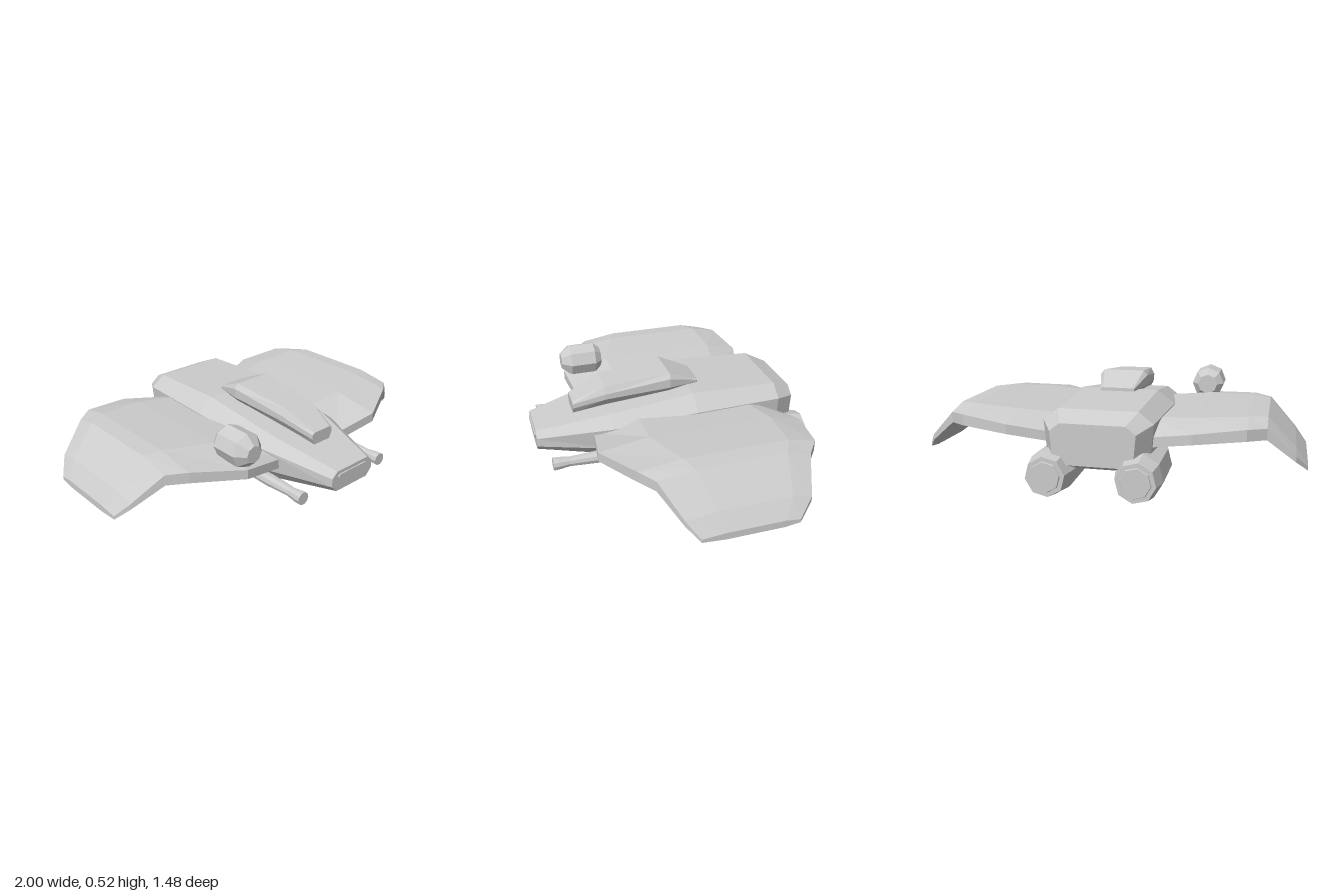
import * as THREE from 'three';

const grey = new THREE.MeshStandardMaterial({ color: 0xcccccc });
grey.name = 'hullGrey';

// Faceted skin over a series of closed rings, capped at both ends.
function loft(name, rings) {
  const pos = [];
  const tri = (a, b, c) => pos.push(...a, ...b, ...c);
  const n = rings[0].length;
  for (let i = 0; i < rings.length - 1; i++) {
    for (let j = 0; j < n; j++) {
      const k = (j + 1) % n, A = rings[i], B = rings[i + 1];
      tri(A[j], B[j], B[k]);
      tri(A[j], B[k], A[k]);
    }
  }
  const first = rings[0], last = rings[rings.length - 1];
  for (let j = 1; j < n - 1; j++) {
    tri(first[0], first[j], first[j + 1]);
    tri(last[0], last[j + 1], last[j]);
  }
  // turn the faces outward if the enclosed volume is negative
  let volume = 0;
  const v = (i) => new THREE.Vector3(pos[i], pos[i + 1], pos[i + 2]);
  for (let i = 0; i < pos.length; i += 9) volume += v(i).dot(v(i + 3).cross(v(i + 6)));
  if (volume < 0) {
    for (let i = 0; i < pos.length; i += 9) {
      for (let c = 0; c < 3; c++) [pos[i + 3 + c], pos[i + 6 + c]] = [pos[i + 6 + c], pos[i + 3 + c]];
    }
  }
  const geo = new THREE.BufferGeometry();
  geo.setAttribute('position', new THREE.Float32BufferAttribute(pos, 3));
  geo.computeVertexNormals();
  const mesh = new THREE.Mesh(geo, grey);
  mesh.name = name;
  return mesh;
}

// Symmetric ring at z from [halfWidth, y] pairs running top to bottom.
const ring = (z, pairs) => [
  ...pairs.map(([x, y]) => [x, y, z]),
  ...pairs.slice().reverse().map(([x, y]) => [-x, y, z]),
];

// Turned part along z from [z, radius] stations.
function turned(name, x, y, stations, sides, phase = 0) {
  return loft(name, stations.map(([z, r]) => Array.from({ length: sides }, (_, j) => {
    const a = phase + (j / sides) * Math.PI * 2;
    return [x + Math.cos(a) * r, y + Math.sin(a) * r, z];
  })));
}

export function createModel() {
  const model = new THREE.Group();
  model.name = 'spacecraft';

  // Fuselage
  model.add(loft('fuselage', [
    ring(0.73, [[0.11, 0.3], [0.145, 0.27], [0.145, 0.225], [0.11, 0.19]]),
    ring(0.35, [[0.19, 0.378], [0.26, 0.325], [0.245, 0.2], [0.19, 0.135]]),
    ring(-0.1, [[0.21, 0.44], [0.3, 0.37], [0.28, 0.2], [0.2, 0.115]]),
    ring(-0.57, [[0.2, 0.423], [0.275, 0.365], [0.26, 0.2], [0.19, 0.125]]),
    ring(-0.68, [[0.16, 0.375], [0.21, 0.335], [0.2, 0.22], [0.15, 0.17]]),
  ]));

  // Slot plate on the nose
  const slot = new THREE.Shape();
  slot.absarc(0.09, 0, 0.014, -Math.PI / 2, Math.PI / 2);
  slot.absarc(-0.09, 0, 0.014, Math.PI / 2, Math.PI * 1.5);
  const plate = new THREE.Mesh(
    new THREE.ExtrudeGeometry(slot, { depth: 0.009, bevelEnabled: false, curveSegments: 5 }), grey);
  plate.name = 'noseSlot';
  plate.position.set(0, 0.268, 0.728);
  model.add(plate);

  // Canopy, undercut along its lower edge
  model.add(loft('canopy', [
    ring(-0.165, [[0.08, 0.455], [0.09, 0.45], [0.09, 0.44], [0.08, 0.42]]),
    ring(0, [[0.11, 0.525], [0.132, 0.5], [0.132, 0.45], [0.1, 0.41]]),
    ring(0.35, [[0.085, 0.487], [0.105, 0.45], [0.105, 0.42], [0.07, 0.365]]),
    ring(0.52, [[0.055, 0.41], [0.07, 0.4], [0.07, 0.375], [0.05, 0.335]]),
  ]));

  // Wing stations: x, front z, rear z, ridge top, edge top, edge bottom, belly bottom
  const stations = [
    [0.2, 0.44, -0.53, 0.355, 0.285, 0.235, 0.215],
    [0.46, 0.475, -0.605, 0.378, 0.335, 0.285, 0.245],
    [0.71, 0.345, -0.56, 0.392, 0.362, 0.305, 0.273],
    [0.8, 0.28, -0.49, 0.385, 0.355, 0.3, 0.268],
    [0.94, 0.19, -0.44, 0.235, 0.215, 0.185, 0.165],
    [1, 0.13, -0.36, 0.152, 0.143, 0.125, 0.115],
  ];
  for (const s of [1, -1]) {
    const side = s > 0 ? 'left' : 'right';
    model.add(loft(side + 'Wing', stations.map(([x, f, r, top, et, eb, belly]) => {
      const zf = f - (f - r) * 0.24, zr = r + (f - r) * 0.16;
      return [[f, et], [zf, top], [zr, top], [r, et], [r, eb], [zr, belly], [zf, belly], [f, eb]]
        .map(([z, y]) => [s * x, y, z]);
    })));

    // Engine with raised exhaust disc
    model.add(turned(side + 'Engine', s * 0.22, 0.122, [
      [-0.205, 0.075], [-0.35, 0.112], [-0.64, 0.118], [-0.735, 0.1], [-0.735, 0.078], [-0.742, 0.075],
    ], 8, Math.PI / 8 + s * 0.25));

    // Gun with flared muzzle
    model.add(turned(side + 'Gun', s * 0.285, 0.195, [
      [0.24, 0.03], [0.45, 0.033], [0.59, 0.026], [0.65, 0.034], [0.675, 0.034],
    ], 10));
  }

  // Sensor pod on the right wing
  model.add(turned('sensorPod', -0.435, 0.415, [
    [0.262, 0.055], [0.3, 0.09], [0.44, 0.09], [0.492, 0.045],
  ], 8));

  return model;
}
